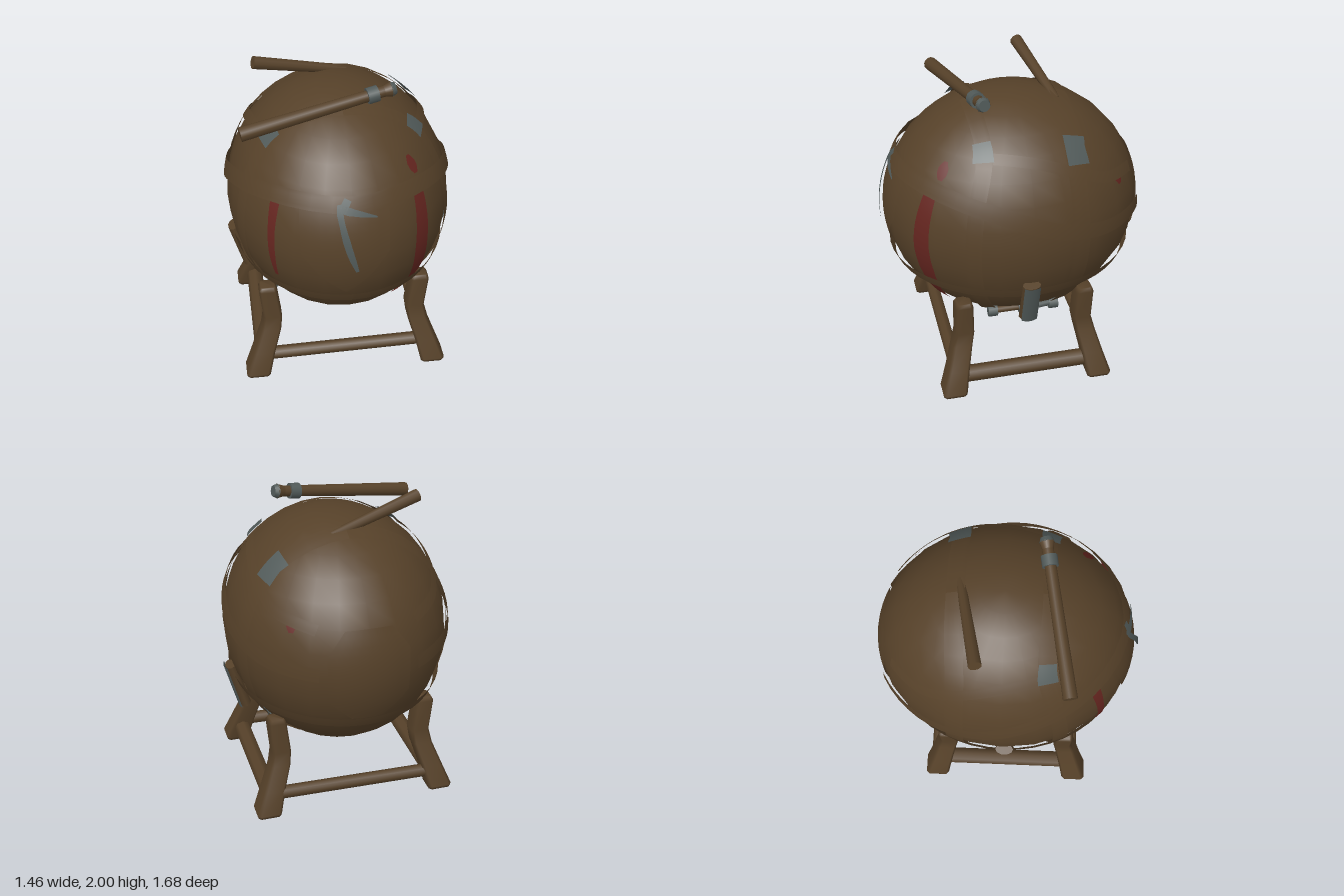
import * as THREE from 'three';

const material = (name, color, side = THREE.FrontSide) => {
  const m = new THREE.MeshStandardMaterial({ color, side });
  m.name = name;
  return m;
};

// Body ellipsoid, shared by everything that hugs its surface
const C = new THREE.Vector3(0, 1.11, -0.006);
const R = new THREE.Vector3(0.71, 0.76, 0.82);
const V = (a) => new THREE.Vector3(...a);

function project(p, lift) {
  const d = p.clone().sub(C);
  const k = lift / d.clone().divide(R).length();
  return d.multiplyScalar(k).add(C);
}

export function createModel() {
  const brown = material('brown', 0x564129, THREE.DoubleSide);
  const metal = material('grey metal', 0x515a59, THREE.DoubleSide);
  const red = material('red paint', 0x64251f, THREE.DoubleSide);
  const group = new THREE.Group();

  const add = (name, geometry, mat) => {
    const mesh = new THREE.Mesh(geometry, mat);
    mesh.name = name;
    group.add(mesh);
    return mesh;
  };

  // Ribbon following the body through the given points
  function ribbon(name, points, widths, lift, mat, closed = false, along = 32, across = 4) {
    const curve = new THREE.CatmullRomCurve3(points.map((a) => project(V(a), lift)), closed);
    const pos = [], index = [];
    for (let i = 0; i <= along; i++) {
      const t = i / along;
      const p = curve.getPoint(t);
      const n = p.clone().sub(C).divide(R).divide(R).normalize();
      const side = curve.getTangent(t).cross(n).normalize();
      const f = t * (widths.length - 1);
      const j = Math.min(Math.floor(f), widths.length - 2);
      const w = widths.length === 1 ? widths[0] : THREE.MathUtils.lerp(widths[j], widths[j + 1], f - j);
      for (let k = 0; k <= across; k++) {
        pos.push(...project(p.clone().addScaledVector(side, w * (k / across - 0.5)), lift).toArray());
        if (i < along && k < across) {
          const a = i * (across + 1) + k, b = a + across + 1;
          index.push(a, a + 1, b, a + 1, b + 1, b);
        }
      }
    }
    const g = new THREE.BufferGeometry();
    g.setAttribute('position', new THREE.Float32BufferAttribute(pos, 3));
    g.setIndex(index);
    g.computeVertexNormals();
    return add(name, g, mat);
  }

  // Cylinder between two points
  function rod(name, from, to, r0, r1, mat, sides = 10, open = false, start = 0, sweep = Math.PI * 2) {
    const a = V(from), b = V(to), d = b.clone().sub(a);
    const mesh = add(name, new THREE.CylinderGeometry(r1, r0, d.length(), sides, 1, open, start, sweep), mat);
    mesh.position.copy(a).lerp(b, 0.5);
    mesh.quaternion.setFromUnitVectors(new THREE.Vector3(0, 1, 0), d.normalize());
    return mesh;
  }

  // Round body
  const body = add('body', new THREE.SphereGeometry(1.004, 24, 16), brown);
  body.scale.copy(R);
  body.position.copy(C);

  // Front and back flaps
  ribbon('frontFlap', [[-0.05, 1.47, 0.75], [-0.05, 1.15, 0.8], [-0.04, 0.86, 0.75]],
    [0.57, 0.57, 0.57, 0.32, 0.02], 1.01, brown, false, 12, 8);
  ribbon('backFlap', [[0, 1.4, -0.75], [0, 1.1, -0.8], [0, 0.8, -0.75]],
    [0.3, 0.55, 0.55, 0.55, 0.2], 1.01, brown, false, 12, 8);

  // Bands round the waist
  ribbon('upperBand', [[-0.3, 1.14, -0.75], [-0.55, 1.16, -0.45], [-0.69, 1.24, -0.15], [-0.68, 1.36, 0.15],
    [-0.52, 1.44, 0.45], [0, 1.48, 0.75], [0.52, 1.44, 0.45], [0.68, 1.36, 0.15], [0.69, 1.24, -0.15],
    [0.55, 1.16, -0.45], [0.3, 1.14, -0.75]], [0.09, 0.11, 0.1, 0.11, 0.09], 1.034, brown, false, 48);
  const lower = [];
  for (let i = 0; i < 16; i++) {
    const a = (i / 16) * Math.PI * 2;
    lower.push([Math.sin(a) * 0.65, 0.8 + 0.015 * Math.cos(a), Math.cos(a) * 0.75]);
  }
  ribbon('lowerBand', lower, [0.08], 1.035, brown, true, 48);

  // Hoops over the top and under the base
  const hoop = (name, half, width) => {
    const mirrored = half.slice(1, -1).reverse().map(([x, y, z]) => [-x, y, z]);
    ribbon(name, [...half, ...mirrored], [width], 1.018, brown, true, 48);
  };
  hoop('frontHoop', [[0, 1.83, 0.26], [0.46, 1.7, 0.26], [0.62, 1.4, 0.34], [0.64, 1.1, 0.36],
    [0.6, 0.8, 0.34], [0.4, 0.5, 0.22], [0, 0.37, 0.2]], 0.1);
  hoop('rearHoop', [[0, 1.82, -0.3], [0.46, 1.66, -0.3], [0.62, 1.4, -0.3], [0.66, 1.1, -0.3],
    [0.6, 0.8, -0.28], [0.4, 0.5, -0.2], [0, 0.37, -0.15]], 0.12);

  for (const s of [1, -1]) {
    // Shoulder straps running backward, with buckles
    ribbon('shoulderStrap', [[s * 0.48, 1.66, 0.2], [s * 0.52, 1.61, -0.05], [s * 0.57, 1.57, -0.28],
      [s * 0.5, 1.46, -0.5], [s * 0.32, 1.42, -0.74]], [0.07], 1.028, brown);
    ribbon('frontBuckle', [[s * 0.4, 1.74, 0.26], [s * 0.45, 1.7, 0.26], [s * 0.49, 1.65, 0.265]],
      [0.11, 0.12, 0.13], 1.045, metal, false, 6);

    // Hanging side canister, flattened towards the body
    rod('canister', [s * 0.6, 0.56, 0.01], [s * 0.69, 0.86, 0.01], 0.062, 0.058, brown).scale.x = 0.6;

    // Small clamped bar below the canister
    rod('clampBar', [s * 0.45, 0.52, 0.22], [s * 0.45, 0.52, -0.21], 0.022, 0.022, brown, 8);
    for (const z of [0.21, 0.01, -0.19]) {
      rod('clampRing', [s * 0.45, 0.52, z - 0.03], [s * 0.45, 0.52, z + 0.03], 0.04, 0.04, metal, 8);
    }
    rod('clampArm', [s * 0.45, 0.505, 0.01], [s * 0.45, 0.53, -0.17], 0.028, 0.028, metal, 6);
  }
  rod('canisterCover', [0.603, 0.555, 0.01], [0.693, 0.867, 0.01], 0.068, 0.068, metal, 8, true,
    0.72, 1.7).scale.x = 0.62;
  ribbon('rearBuckle', [[0.4, 1.72, -0.31], [0.46, 1.68, -0.31], [0.52, 1.58, -0.31]],
    [0.15, 0.14, 0.15], 1.04, metal, false, 6);
  rod('baseToggle', [-0.12, 0.37, 0.25], [0.06, 0.37, 0.25], 0.028, 0.028, metal, 8);

  // Painted marks
  ribbon('wideStripe', [[0.43, 1.42, 0.6], [0.433, 1.1, 0.64], [0.415, 0.85, 0.6], [0.32, 0.55, 0.5]],
    [0.09, 0.11, 0.12, 0.115, 0.085, 0.05], 1.014, red, false, 20);
  ribbon('upperMark', [[0.375, 1.63, 0.48], [0.395, 1.57, 0.5], [0.415, 1.52, 0.52]],
    [0.025, 0.07, 0.07, 0.03], 1.014, red, false, 8);
  ribbon('narrowStripe', [[-0.46, 1.42, 0.58], [-0.47, 1.15, 0.6], [-0.45, 0.89, 0.6]],
    [0.07, 0.055, 0.05, 0.025], 1.014, red, false, 14);
  ribbon('rearMark', [[0.42, 1.42, -0.58], [0.43, 1.36, -0.6]], [0.04, 0.07, 0.03], 1.014, red, false, 6);

  // Hanging metal hook at the front
  const prong = (points, widths) => ribbon('hookProng', points, widths, 1.04, metal, false, 12, 2);
  prong([[-0.085, 1.49, 0.75], [-0.075, 1.4, 0.77], [-0.035, 1.22, 0.8], [0.015, 1.06, 0.8]],
    [0.02, 0.04, 0.035, 0.045, 0.04, 0.02]);
  prong([[-0.07, 1.46, 0.76], [0.0, 1.44, 0.77], [0.14, 1.4, 0.77]], [0.045, 0.05, 0.035, 0.01]);
  prong([[-0.03, 1.52, 0.75], [-0.07, 1.45, 0.77]], [0.045, 0.05]);

  // Mallet and the smaller stick lodged in the top
  const p0 = V([-0.62, 1.79, 0.39]), p1 = V([0.32, 1.935, 0.22]);
  const at = (t) => p0.clone().lerp(p1, t).toArray();
  rod('mallet', at(0), at(0.95), 0.044, 0.034, brown, 12);
  rod('malletRing', at(0.82), at(0.89), 0.05, 0.05, metal, 12);
  rod('malletFlare', at(0.93), at(0.98), 0.034, 0.046, brown, 12);
  rod('malletCap', at(0.975), at(1.005), 0.047, 0.036, metal, 12);
  rod('stick', [-0.5, 1.96, -0.16], [0.09, 1.805, -0.28], 0.04, 0.028, brown, 10);

  // Bent legs: chamfered square sections stacked along a bent path
  const sections = [[0.585, 0, 0.485, 0.076], [0.585, 0.02, 0.485, 0.08], [0.54, 0.16, 0.45, 0.07],
    [0.485, 0.32, 0.41, 0.063], [0.47, 0.41, 0.39, 0.06], [0.495, 0.63, 0.395, 0.058], [0.495, 0.655, 0.395, 0.045]];
  const outline = [[1, 0.75], [0.75, 1], [-0.75, 1], [-1, 0.75], [-1, -0.75], [-0.75, -1], [0.75, -1], [1, -0.75]];
  for (const sx of [1, -1]) for (const sz of [1, -1]) {
    const pos = [], index = [];
    for (const [x, y, z, r] of sections) {
      for (const [u, v] of outline) pos.push(sx * x - 0.008 + u * r, y, sz * z + 0.013 + v * r);
    }
    const last = (sections.length - 1) * 8;
    for (let i = 0; i < last; i += 8) for (let k = 0; k < 8; k++) {
      const a = i + k, b = i + ((k + 1) % 8);
      index.push(a, a + 8, b, b, a + 8, b + 8);
    }
    for (let k = 1; k < 7; k++) {
      index.push(0, k, k + 1, last, last + k + 1, last + k);
    }
    const g = new THREE.BufferGeometry();
    g.setAttribute('position', new THREE.Float32BufferAttribute(pos, 3));
    g.setIndex(index);
    g.computeVertexNormals();
    add('leg', g, brown);
  }

  // Stretchers between the legs
  for (const s of [1, -1]) {
    rod('sideStretcher', [s * 0.55, 0.105, 0.45], [s * 0.55, 0.105, -0.45], 0.055, 0.055, brown, 8);
    rod('crossStretcher', [-0.53, 0.115, s * 0.47], [0.53, 0.135, s * 0.47], 0.043, 0.043, brown, 8);
  }

  return group;
}
